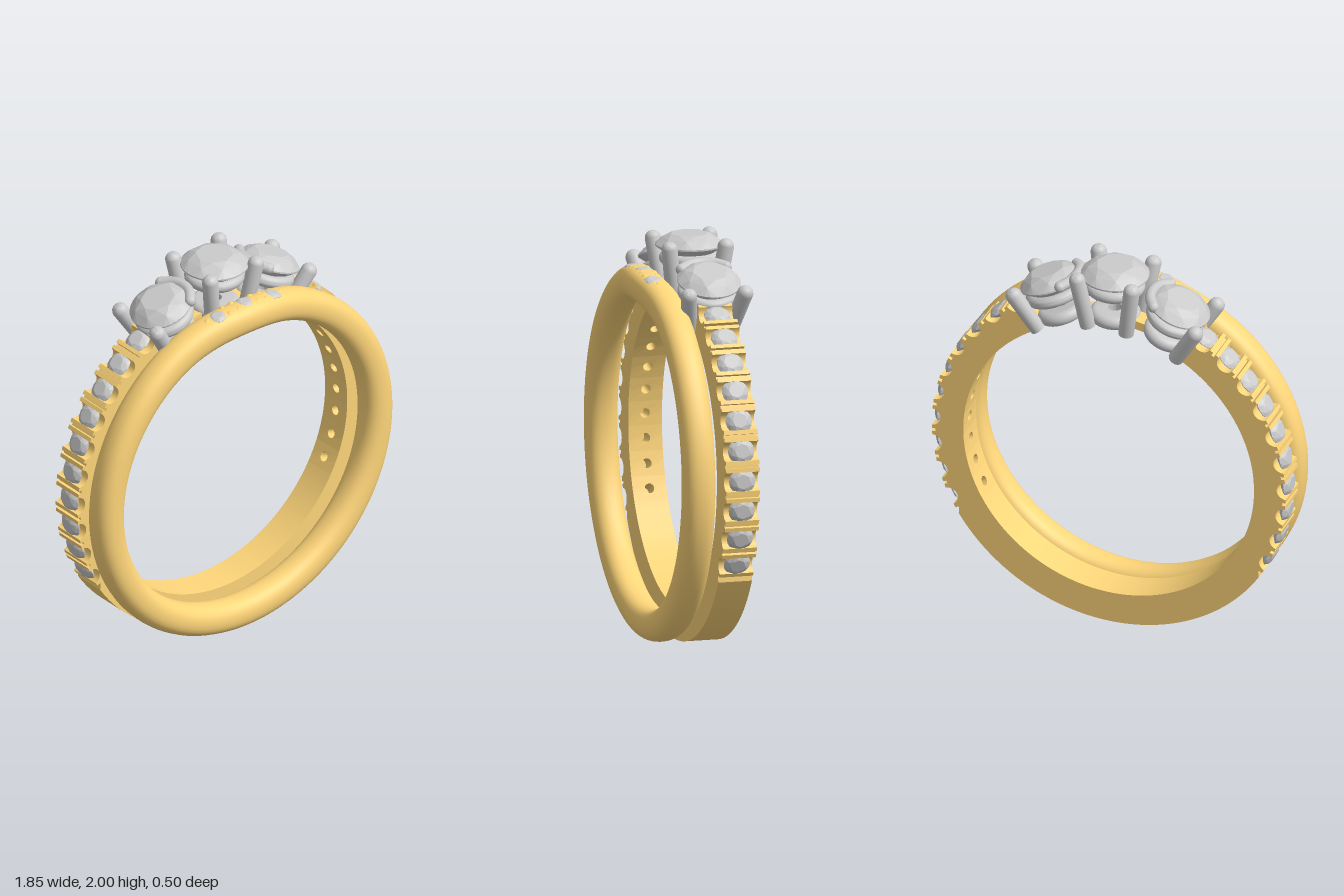
import * as THREE from 'three';
import { toCreasedNormals } from 'three/addons/utils/BufferGeometryUtils.js';
import { ConvexGeometry } from 'three/addons/geometries/ConvexGeometry.js';

const gold = new THREE.MeshStandardMaterial({ color: 0xffd67a });
const grey = new THREE.MeshStandardMaterial({ color: 0xcccccc });
const gem = new THREE.MeshStandardMaterial({ color: 0xcccccc, flatShading: true });
const RAD = Math.PI / 180;
const CY = 0.922;          // height of the ring centres
const BAND_Z = -0.066;     // middle of the stone-set band
const INNER = 0.758, SEAT = 0.86, OUTER = 0.922;
const STEP = 9.3;          // degrees between band stones
const stoneAngles = Array.from({ length: 10 }, (_, i) => -25.8 + STEP * i);

function add(parent, name, geometry, material) {
  const mesh = new THREE.Mesh(geometry, material);
  mesh.name = name;
  parent.add(mesh);
  return mesh;
}

// Round brilliant: table, crown, girdle and pavilion rings; girdle lies at y = 0
function brilliant(r, crown, depth, girdle = 24) {
  const pts = [new THREE.Vector3(0, -depth, 0)];
  const ring = (n, rad, y, turn) => {
    for (let i = 0; i < n; i++) {
      const a = (i + turn) / n * Math.PI * 2;
      pts.push(new THREE.Vector3(Math.cos(a) * rad, y, Math.sin(a) * rad));
    }
  };
  ring(8, r * 0.55, crown, 0);
  ring(8, r * 0.8, crown * 0.63, 0.5);
  ring(girdle, r, 0, 0);
  ring(girdle, r, -crown * 0.15, 0);
  ring(8, r * 0.55, -depth * 0.5, 0.5);
  return new ConvexGeometry(pts);
}

// Round wire with a domed tip
function prong(parent, from, to, r) {
  const dir = to.clone().sub(from), len = dir.length();
  const profile = [new THREE.Vector2(0, 0), new THREE.Vector2(r * 0.95, 0)];
  for (let i = 0; i <= 8; i++) {
    const a = i / 8 * Math.PI / 2;
    profile.push(new THREE.Vector2(r * Math.cos(a), len + r * Math.sin(a)));
  }
  const geo = toCreasedNormals(new THREE.LatheGeometry(profile, 16), 0.7);
  const mesh = add(parent, 'prong', geo, grey);
  mesh.position.copy(from);
  mesh.quaternion.setFromUnitVectors(new THREE.Vector3(0, 1, 0), dir.normalize());
}

// Plain ring, bowed forward at the top to clear the centre setting
function plainRing() {
  const N = 120, M = 28, pos = [], idx = [];
  const power = (v, p) => Math.sign(v) * Math.abs(v) ** p;
  for (let i = 0; i <= N; i++) {
    const a = i / N * Math.PI * 2;
    for (let j = 0; j <= M; j++) {
      const t = j / M * Math.PI * 2;
      const r = 0.837 + 0.08 * power(Math.cos(t), 0.85);
      const x = r * Math.cos(a), y = r * Math.sin(a);
      const bow = y > 0 ? 0.036 * Math.exp(-((x / 0.25) ** 2)) : 0;
      pos.push(x, y, 0.08 * power(Math.sin(t), 0.85) + bow);
      if (i < N && j < M) {
        const p = i * (M + 1) + j, q = p + M + 1;
        idx.push(p, q, p + 1, q, q + 1, p + 1);
      }
    }
  }
  const geo = new THREE.BufferGeometry();
  geo.setAttribute('position', new THREE.Float32BufferAttribute(pos, 3));
  geo.setIndex(idx);
  return toCreasedNormals(geo, 0.9);
}

// Half band outline with a scallop under each stone and a slit between stones
function bandHalf() {
  const shape = new THREE.Shape();
  const pt = (deg, r) => [r * Math.cos(deg * RAD), r * Math.sin(deg * RAD)];
  const first = stoneAngles[0] - STEP / 2, last = stoneAngles[9] + STEP / 2;
  shape.moveTo(...pt(-90, OUTER));
  for (let d = -88; d < first; d += 2) shape.lineTo(...pt(d, OUTER));
  for (const s of stoneAngles) {
    shape.lineTo(...pt(s - STEP / 2, OUTER - 0.018));
    shape.lineTo(...pt(s - STEP / 2 + 0.5, OUTER - 0.018));
    shape.lineTo(...pt(s - STEP / 2 + 0.5, OUTER));
    for (let i = 0; i <= 10; i++) {
      const t = i / 10 * Math.PI;
      shape.lineTo(...pt(s - 2.9 * Math.cos(t), OUTER - 0.046 * Math.sin(t)));
    }
    shape.lineTo(...pt(s + STEP / 2 - 0.5, OUTER));
    shape.lineTo(...pt(s + STEP / 2 - 0.5, OUTER - 0.018));
  }
  shape.lineTo(...pt(last, OUTER - 0.018));
  for (let d = last; d > first; d -= STEP / 4) shape.lineTo(...pt(d, SEAT));
  shape.lineTo(...pt(first, SEAT));
  for (let d = first; d > -90; d -= 2) shape.lineTo(...pt(d, INNER));
  shape.lineTo(...pt(-90, INNER));
  const geo = new THREE.ExtrudeGeometry(shape, { depth: 0.17, bevelEnabled: false });
  geo.translate(0, 0, -0.085);
  return toCreasedNormals(geo, 0.5);
}

// Inner wall cell with a round hole, bent around the ring centre
function drilledCell(deg) {
  const h = STEP / 2 * RAD, n = 4, shape = new THREE.Shape();
  shape.moveTo(-h, -0.085);
  for (let i = 1; i <= n; i++) shape.lineTo(-h + 2 * h * i / n, -0.085);
  for (let i = n; i >= 0; i--) shape.lineTo(-h + 2 * h * i / n, 0.085);
  const hole = new THREE.Path();
  hole.absellipse(0, 0, 0.024 / INNER, 0.024, 0, Math.PI * 2, true);
  shape.holes.push(hole);
  const geo = new THREE.ExtrudeGeometry(shape, { depth: SEAT - INNER, bevelEnabled: false, curveSegments: 8 });
  const p = geo.attributes.position;
  for (let i = 0; i < p.count; i++) {
    const a = p.getX(i) + deg * RAD, r = INNER + p.getZ(i), z = p.getY(i);
    p.setXYZ(i, r * Math.cos(a), r * Math.sin(a), z);
  }
  return toCreasedNormals(geo, 0.6);
}

// Open basket with two rails; local y is the distance from the ring centre
function setting(name, r, girdle, sides) {
  const g = new THREE.Group();
  g.name = name;
  add(g, 'mainStone', brilliant(r, 0.052, 0.12, 32), gem).position.y = girdle;
  for (const [y, inner, outer, half] of [[girdle - 0.07, 0.085, 0.148, 0.03], [0.795, 0.035, 0.125, 0.035]]) {
    const rail = new THREE.Shape();
    rail.moveTo(inner, y - half);
    rail.lineTo(outer - half, y - half);
    rail.absarc(outer - half, y, half, -Math.PI / 2, Math.PI / 2, false);
    rail.lineTo(inner, y + half);
    rail.lineTo(inner, y - half);
    add(g, 'basketRail', toCreasedNormals(new THREE.LatheGeometry(rail.getPoints(6), 36), 0.7), grey);
  }
  for (const sx of sides) for (const sz of [-1, 1])
    prong(g, new THREE.Vector3(sx * 0.1, 0.765, sz * 0.108),
      new THREE.Vector3(sx * 0.142, girdle + 0.005, sz * 0.142), 0.04);
  return g;
}

export function createModel() {
  const model = new THREE.Group();
  model.name = 'ringSet';

  // Plain front ring with small stones and beads along its crest
  const front = new THREE.Group();
  front.name = 'plainRing';
  front.position.set(0, CY, 0.135);
  model.add(front);
  add(front, 'ringBody', plainRing(), gold);
  const onCrest = (mesh, x, z, r) => {
    const a = Math.asin(x / r);
    mesh.position.set(x, r * Math.cos(a), z);
    mesh.rotation.z = -a;
  };
  for (const x of [-0.17, 0, 0.17])
    onCrest(add(front, 'crestStone', brilliant(0.046, 0.012, 0.04, 16), gem), x, 0.03, 0.908);
  const bead = new THREE.SphereGeometry(0.021, 12, 8);
  for (const s of [-1, 1]) {
    for (const x of [0.058, 0.112]) for (const z of [-0.002, 0.055])
      onCrest(add(front, 'bead', bead, gold), s * x, z, 0.897);
    onCrest(add(front, 'bead', bead, gold), s * 0.225, 0.022, 0.9);
  }

  // Stone-set band: one half, turned about the vertical for the other
  const band = new THREE.Group();
  band.name = 'stoneBand';
  band.position.set(0, CY, BAND_Z);
  model.add(band);
  const outline = bandHalf(), cells = stoneAngles.map(drilledCell);
  const small = brilliant(0.066, 0.022, 0.05, 16);
  for (const turn of [0, Math.PI]) {
    const half = new THREE.Group();
    half.name = 'bandHalf';
    half.rotation.y = turn;
    band.add(half);
    add(half, 'bandBody', outline, gold);
    cells.forEach((c) => add(half, 'drilledWall', c, gold));
    for (const d of stoneAngles) {
      const stone = add(half, 'bandStone', small, gem);
      stone.position.set(0.904 * Math.cos(d * RAD), 0.904 * Math.sin(d * RAD), 0);
      stone.rotation.z = d * RAD - Math.PI / 2;
    }
    // Side setting, with a curved bar in place of its inner prongs
    const side = setting('sideSetting', 0.156, 0.972, [1]);
    side.rotation.z = -20.3 * RAD;
    half.add(side);
    const arc = [-48, -24, 0, 24, 48].map((d) =>
      new THREE.Vector3(-0.152 * Math.cos(d * RAD), 0.978, 0.152 * Math.sin(d * RAD)));
    add(side, 'curvedBar', new THREE.TubeGeometry(new THREE.CatmullRomCurve3(arc), 20, 0.028, 10), grey);
    for (const end of [arc[0], arc[4]])
      add(side, 'barEnd', new THREE.SphereGeometry(0.028, 10, 8), grey).position.copy(end);
    // Small bridge between the settings
    const bridge = add(half, 'bridge', new THREE.BoxGeometry(0.1, 0.045, 0.09), gold);
    bridge.position.set(0.79 * Math.sin(10 * RAD), 0.79 * Math.cos(10 * RAD), 0);
    bridge.rotation.z = -10 * RAD;
  }
  band.add(setting('centreSetting', 0.167, 1.026, [-1, 1]));
  return model;
}
